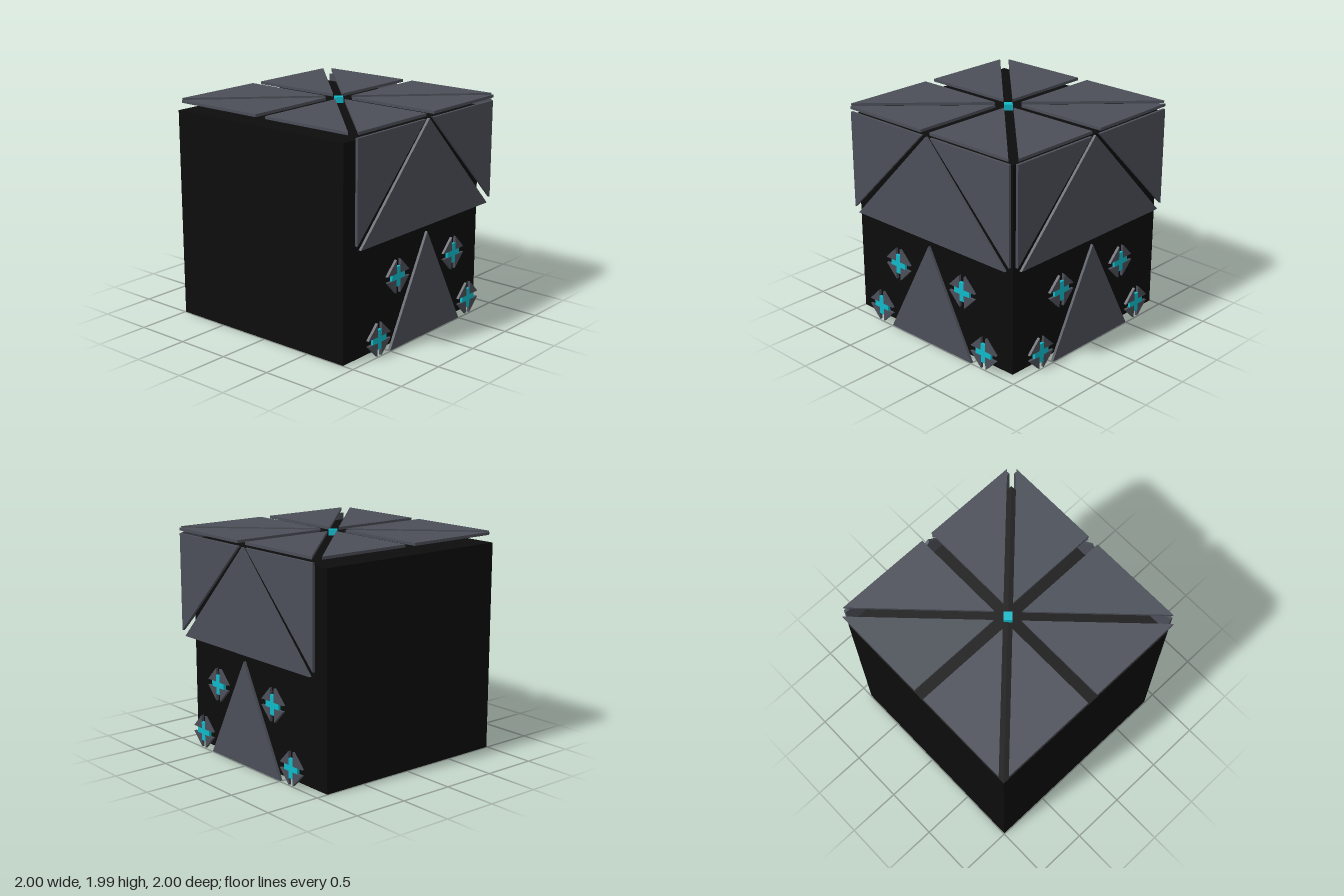
import * as THREE from 'three';

const T = 0.025; // plate thickness

const black = new THREE.MeshStandardMaterial({ name: 'matte black', color: 0x0c0c0c });
const slate = new THREE.MeshStandardMaterial({ name: 'slate grey', color: 0x4b4f58 });
const cyan = new THREE.MeshStandardMaterial({ name: 'cyan', color: 0x10b9c9 });

// flat plate from 2D corners, extruded outward along local z
function plate(name, points, material, x = 0, y = 0) {
  const shape = new THREE.Shape(points.map(([u, v]) => new THREE.Vector2(u, v)));
  const geometry = new THREE.ExtrudeGeometry(shape, { depth: T, bevelEnabled: false });
  const mesh = new THREE.Mesh(geometry, material);
  mesh.name = name;
  mesh.position.set(x, y, 0);
  return mesh;
}

// copies of a corner list mirrored into all four quadrants
const quadrants = [[1, 1], [-1, 1], [-1, -1], [1, -1]];
const flip = (points, sx, sy) => points.map(([u, v]) => [u * sx, v * sy]);

// small cross with four triangular petals
function crossEmblem(x, y) {
  const emblem = new THREE.Group();
  emblem.name = 'crossEmblem';
  const w = 0.026, l = 0.088, r = 0.15;
  const arms = [[w, l], [-w, l], [-w, w], [-l, w], [-l, -w], [-w, -w],
    [-w, -l], [w, -l], [w, -w], [l, -w], [l, w], [w, w]];
  emblem.add(plate('cross', arms, cyan));
  for (const [sx, sy] of quadrants) {
    emblem.add(plate('petal', flip([[w, w], [r, w], [w, r]], sx, sy), slate));
  }
  emblem.position.set(x, y, 0);
  return emblem;
}

// armoured side, facing local +z
function sidePanels(name) {
  const side = new THREE.Group();
  side.name = name;
  side.add(plate('upperTriangle', [[-0.9, 1], [0.9, 1], [0, 1.937]], slate));
  side.add(plate('lowerTriangle', [[-0.5, 0.003], [0.5, 0.003], [0, 0.945]], slate));
  for (const s of [-1, 1]) {
    side.add(plate('cornerTriangle', flip([[0.05, 1.937], [0.945, 1.937], [0.945, 1.045]], s, 1), slate));
    side.add(crossEmblem(0.397 * s, 0.648));
    side.add(crossEmblem(0.645 * s, 0.153));
  }
  return side;
}

export function createModel() {
  const model = new THREE.Group();
  model.name = 'armouredCube';

  // core block
  const core = new THREE.Mesh(new THREE.BoxGeometry(1.885, 1.89, 1.885), black);
  core.name = 'core';
  core.position.set(-0.0525, 0.945, 0.0525);
  model.add(core);

  // right and back armour
  const right = sidePanels('rightArmour');
  right.rotation.y = Math.PI / 2;
  right.position.x = 0.972;
  const back = sidePanels('backArmour');
  back.rotation.y = Math.PI;
  back.position.z = -0.972;
  model.add(right, back);

  // top armour: eight wedges around the centre
  const top = new THREE.Group();
  top.name = 'topArmour';
  const wedge = [[0.053, 0.11], [0.053, 1], [0.943, 1]];
  for (const [sx, sy] of quadrants) {
    top.add(plate('wedge', flip(wedge, sx, sy), slate));
    top.add(plate('wedge', flip(wedge.map(([u, v]) => [v, u]), sx, sy), slate));
  }
  top.rotation.x = -Math.PI / 2;
  top.position.y = 1.964;
  model.add(top);

  // diamond stud in the middle of the top
  const stud = new THREE.Mesh(new THREE.CylinderGeometry(0.053, 0.053, 0.052, 4), cyan);
  stud.geometry = stud.geometry.toNonIndexed();
  stud.geometry.computeVertexNormals();
  stud.name = 'stud';
  stud.position.y = 1.963;
  model.add(stud);

  return model;
}
